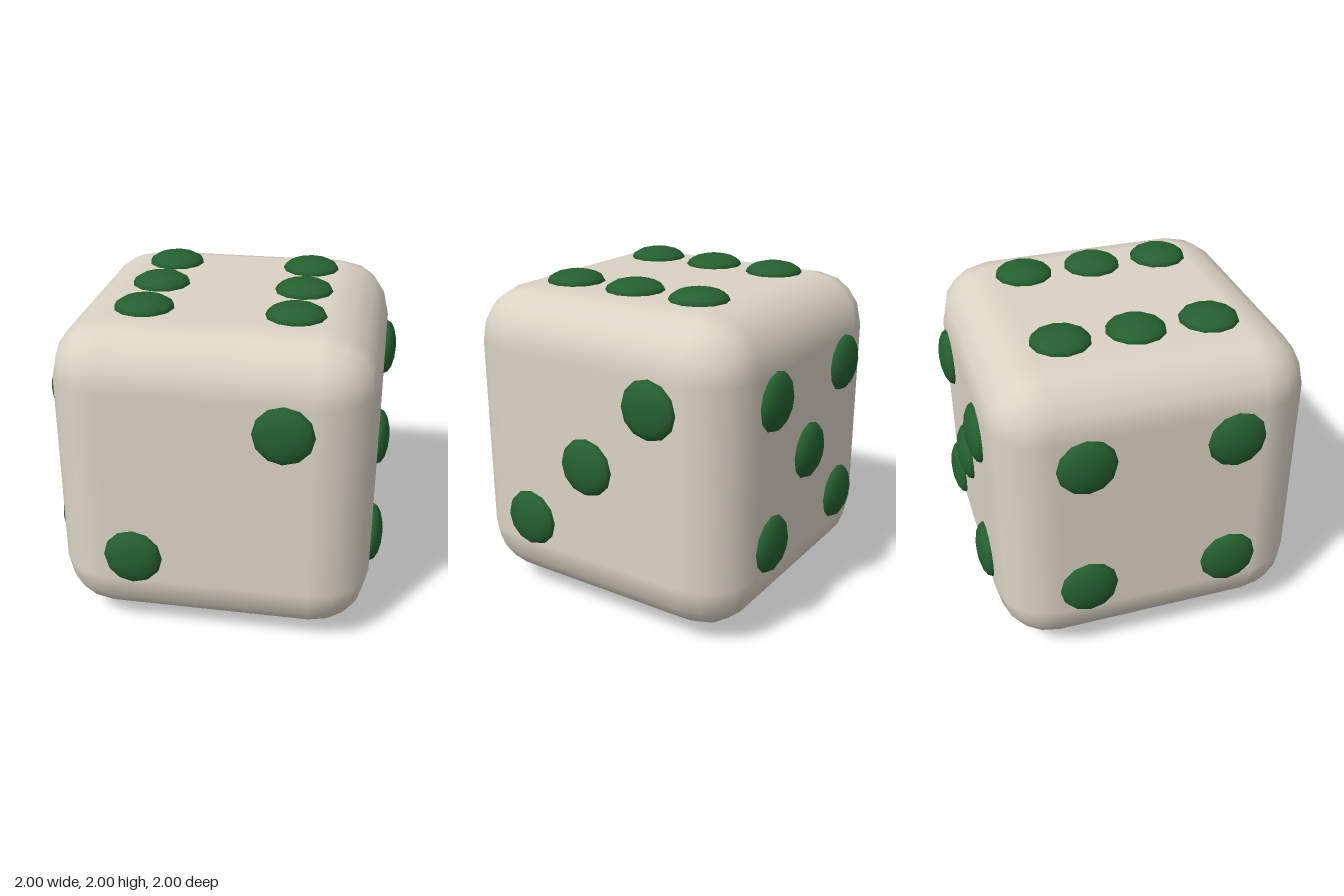
import * as THREE from 'three';
import { RoundedBoxGeometry } from 'three/addons/geometries/RoundedBoxGeometry.js';

const HALF = 0.933;    // half the body's edge
const SPREAD = 0.433;  // distance of the outer pips from a face's centre
const PIP_RADIUS = 0.174;
const PIP_HEIGHT = 0.067;

export function createModel() {
  const ivory = new THREE.MeshStandardMaterial({ color: 0xdbd3c4 });
  ivory.name = 'ivory';
  const green = new THREE.MeshStandardMaterial({ color: 0x24602f });
  green.name = 'green';

  const die = new THREE.Group();
  die.name = 'die';

  // Body: a cube with generously rounded edges
  const body = new THREE.Mesh(new RoundedBoxGeometry(HALF * 2, HALF * 2, HALF * 2, 2, 0.335), ivory);
  body.name = 'body';
  body.position.y = 1;
  die.add(body);

  // Pip: a shallow dome that bulges along +z
  const dome = new THREE.SphereGeometry(1, 12, 4, 0, Math.PI * 2, 0, Math.PI / 2);
  dome.rotateX(Math.PI / 2);
  dome.scale(PIP_RADIUS, PIP_RADIUS, PIP_HEIGHT);

  // Pip layouts in each face's own plane, in steps of SPREAD
  const corners = [[-1, -1], [-1, 1], [1, -1], [1, 1]];
  const diagonal = [[-1, -1], [1, 1]];
  const faces = [
    { name: 'front', turn: [0, 0], pips: diagonal },
    { name: 'right', turn: [0, Math.PI / 2], pips: [...diagonal, [0, 0]] },
    { name: 'back', turn: [0, Math.PI], pips: [...corners, [0, 0]] },
    { name: 'left', turn: [0, -Math.PI / 2], pips: corners },
    { name: 'top', turn: [-Math.PI / 2, 0], pips: [...corners, [-1, 0], [1, 0]] },
    { name: 'bottom', turn: [Math.PI / 2, 0], pips: [[0, 0]] },
  ];
  // The model's own left is +x
  faces[1].name = 'left';
  faces[3].name = 'right';

  for (const { name, turn, pips } of faces) {
    const face = new THREE.Group();
    face.name = name + 'Pips';
    face.position.y = 1;
    face.rotation.set(turn[0], turn[1], 0);
    pips.forEach(([u, v], i) => {
      const pip = new THREE.Mesh(dome, green);
      pip.name = `${name}Pip${i + 1}`;
      pip.position.set(u * SPREAD, v * SPREAD, HALF);
      face.add(pip);
    });
    die.add(face);
  }
  return die;
}
